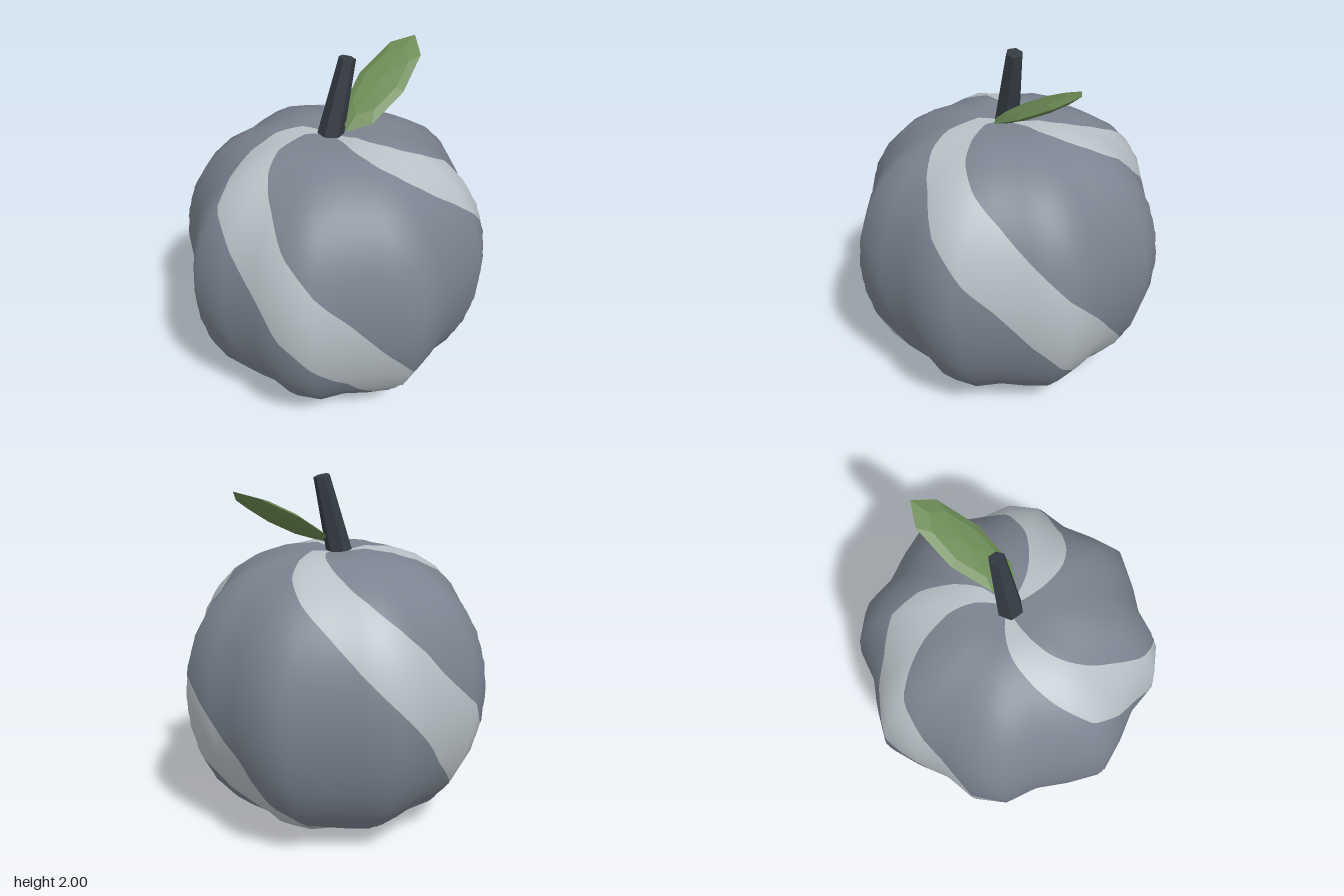
import * as THREE from 'three';

const mat = (name, color, flatShading = false) => {
  const m = new THREE.MeshStandardMaterial({ color, flatShading });
  m.name = name;
  return m;
};
const V = (x, y, z) => new THREE.Vector3(x, y, z);

const SIDES = 28;   // columns of the faceted body
const RINGS = 16;   // rings from bottom pole to top pole
const HEIGHTS = [0, 0.01, 0.04, 0.1, 0.19, 0.32, 0.48, 0.66, 0.84,
  1.01, 1.18, 1.32, 1.435, 1.52, 1.575, 1.6, 1.57];

// Corner of the coarse eight-lobed body
function corner(i, j) {
  const a = (i / SIDES) * Math.PI * 2;
  const r = Math.sin((j / RINGS) * Math.PI) * (0.835 + 0.045 * Math.cos(8 * a));
  return V(r * Math.cos(a), HEIGHTS[j], r * Math.sin(a));
}

// Smooth normal at a corner
function cornerNormal(i, j) {
  if (j === 0) return V(0, -1, 0);
  if (j === RINGS) return V(0, 1, 0);
  const up = corner(i, j + 1).sub(corner(i, j - 1));
  const around = corner(i + 1, j).sub(corner(i - 1, j));
  return up.cross(around).normalize();
}

// Blend a corner function over the cell that holds angle a (degrees), ring v
function blend(fn, a, v) {
  const u = (a / 360) * SIDES;
  const i = Math.floor(u), j = Math.min(Math.floor(v), RINGS - 1);
  const low = fn(i, j).lerp(fn(i + 1, j), u - i);
  const high = fn(i, j + 1).lerp(fn(i + 1, j + 1), u - i);
  return low.lerp(high, v - j);
}

// Twisted strip of the body skin, from pole to pole
function skinStrip(start, width) {
  const cols = Math.round(width / 2), rows = RINGS * 4;
  const pos = [], nor = [], idx = [];
  for (let r = 0; r <= rows; r++) {
    const v = (r / rows) * RINGS;
    for (let c = 0; c <= cols; c++) {
      const a = start + (width * c) / cols + 11.25 * v;
      pos.push(...blend(corner, a, v).toArray());
      nor.push(...blend(cornerNormal, a, v).normalize().toArray());
      if (r < rows && c < cols) {
        const p = r * (cols + 1) + c, q = p + cols + 1;
        idx.push(p, q, p + 1, p + 1, q, q + 1);
      }
    }
  }
  const g = new THREE.BufferGeometry();
  g.setAttribute('position', new THREE.Float32BufferAttribute(pos, 3));
  g.setAttribute('normal', new THREE.Float32BufferAttribute(nor, 3));
  g.setIndex(idx);
  return g;
}

export function createModel() {
  const model = new THREE.Group();
  model.name = 'stripedFruit';
  const add = (name, geometry, material, parent = model) => {
    const m = new THREE.Mesh(geometry, material);
    m.name = name;
    parent.add(m);
    return m;
  };

  // Body: three pale spiral stripes between three wide grey bands
  const grey = mat('slateGrey', 0x7b8390);
  const pale = mat('paleGrey', 0xb9c1c6);
  const body = new THREE.Group();
  body.name = 'body';
  model.add(body);
  for (let k = 0; k < 3; k++) {
    const start = 21.7 + k * 120;
    add('stripe', skinStrip(start, 32), pale, body);
    add('skin', skinStrip(start + 32, 88), grey, body);
  }

  // Stem: leaning six-sided taper
  const stem = add('stem', new THREE.CylinderGeometry(0.045, 0.073, 0.445, 6),
    mat('charcoal', 0x343b42, true));
  stem.position.set(0.031, 1.773, 0);
  stem.rotation.z = -0.24;

  // Leaf: flattened low-poly ellipsoid set on skewed axes
  const long = V(0.29, 0.17, -0.105), wide = V(0.055, -0.02, 0.128);
  const thick = wide.clone().cross(long).setLength(0.03);
  const leaf = new THREE.SphereGeometry(1, 8, 4);
  leaf.applyMatrix4(new THREE.Matrix4().makeBasis(long, thick, wide));
  leaf.translate(0.318, 1.783, -0.024);
  add('leaf', leaf, mat('leafGreen', 0x6b8a54, true));

  return model;
}
